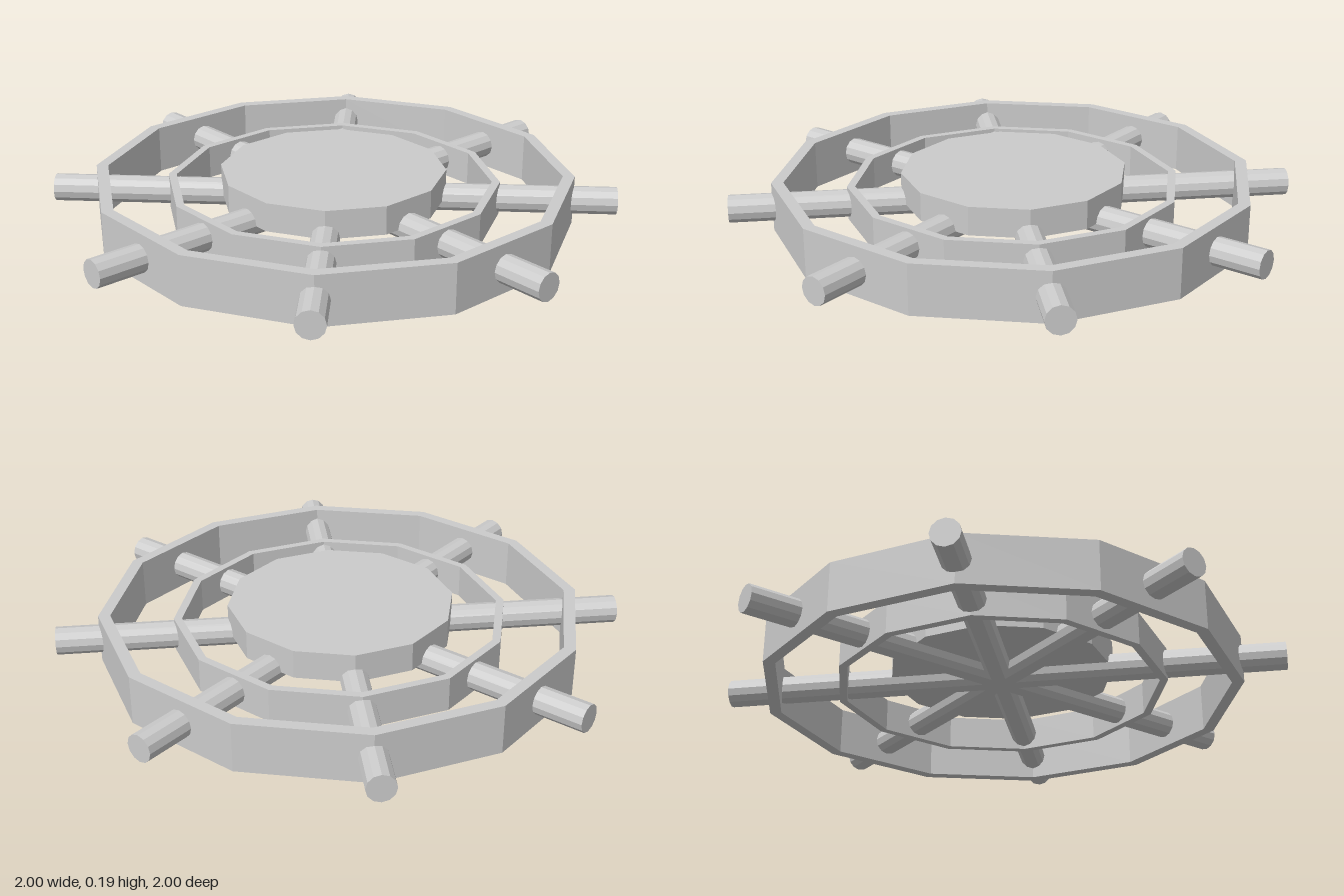
import * as THREE from 'three';

const SIDES = 12;
const MID = 0.0875; // height of the spoke axes

export function createModel() {
  const model = new THREE.Group();
  model.name = 'spokedWheel';
  const material = new THREE.MeshStandardMaterial({ color: 0xcccccc, flatShading: true });

  const add = (name, geometry) => {
    const mesh = new THREE.Mesh(geometry, material);
    mesh.name = name;
    mesh.position.y = MID;
    model.add(mesh);
    return mesh;
  };

  // Twelve-sided ring with a rectangular section
  const ring = (outer, inner, height) => {
    const h = height / 2;
    const profile = [[outer, -h], [outer, h], [inner, h], [inner, -h], [outer, -h]];
    return new THREE.LatheGeometry(profile.map(([r, y]) => new THREE.Vector2(r, y)), SIDES);
  };
  add('outerRim', ring(0.85, 0.808, 0.175));
  add('innerRim', ring(0.59, 0.561, 0.121));

  // Hub disc resting on the spoke axes
  const hubHeight = 0.102;
  add('hub', new THREE.CylinderGeometry(0.4, 0.4, hubHeight, SIDES)).position.y = MID + hubHeight / 2;

  // Four full-length bars crossing at the centre make eight spokes
  for (let i = 0; i < 4; i++) {
    const bar = new THREE.CylinderGeometry(0.049, 0.049, 2, SIDES);
    bar.rotateZ(Math.PI / 2).rotateY((i * Math.PI) / 4);
    add('spokeBar' + (i + 1), bar);
  }

  return model;
}
